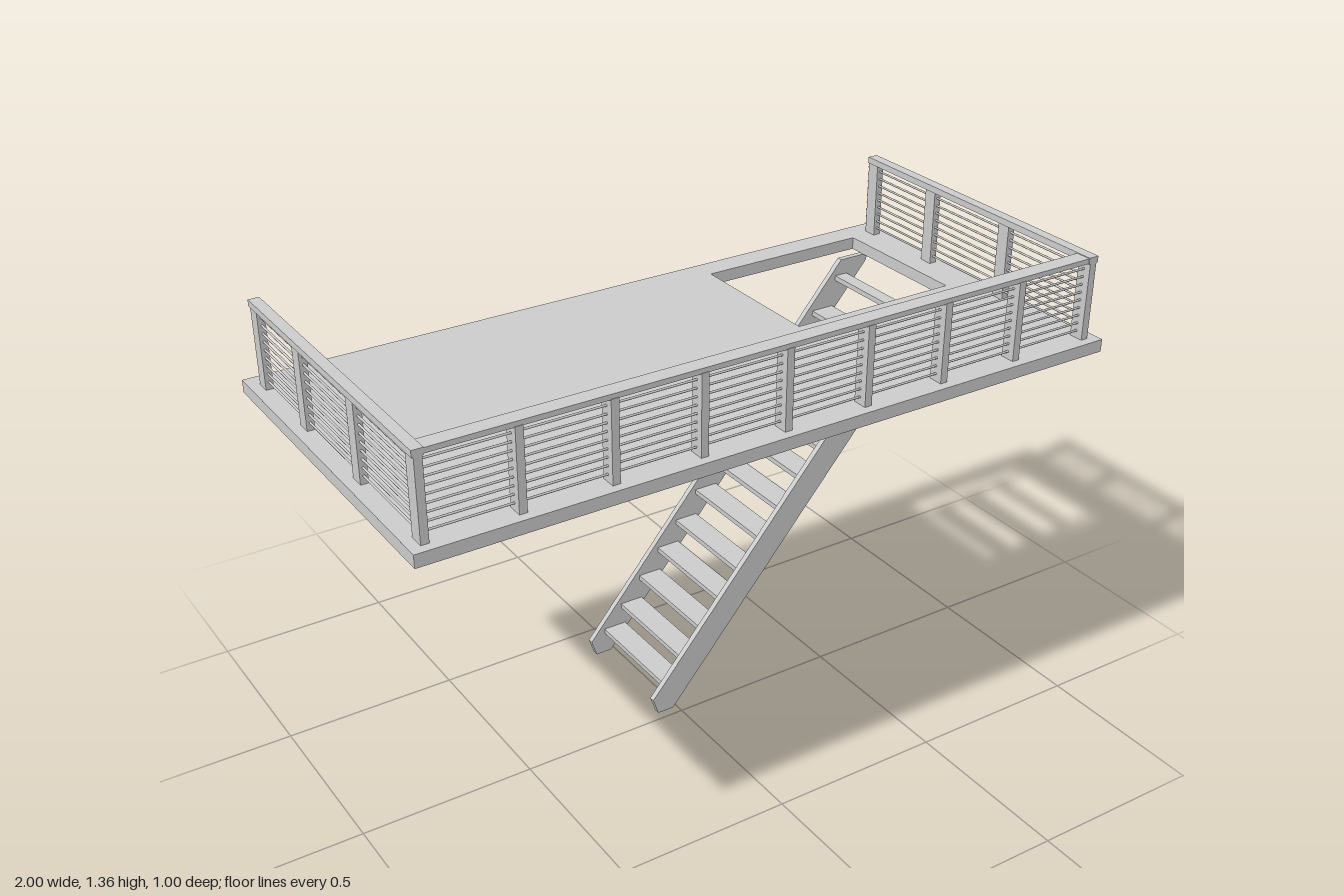
import * as THREE from 'three';

const DECK_BOTTOM = 1.09, DECK_TOP = 1.125, RAIL_TOP = 1.356;
const RAIL_X = 0.96, RAIL_Z = 0.453;

export function createModel() {
  const model = new THREE.Group();
  const material = new THREE.MeshStandardMaterial({ color: 0xcccccc });

  const add = (parent, name, geometry) => {
    const mesh = new THREE.Mesh(geometry, material);
    mesh.name = name;
    parent.add(mesh);
    return mesh;
  };
  // Box given by its min and max on each axis
  const addBox = (parent, name, [x0, x1], [y0, y1], [z0, z1]) =>
    add(parent, name, new THREE.BoxGeometry(x1 - x0, y1 - y0, z1 - z0))
      .position.set((x0 + x1) / 2, (y0 + y1) / 2, (z0 + z1) / 2);
  const around = (c, size) => [c - size / 2, c + size / 2];
  const polygon = (points) => points.map(([x, y]) => new THREE.Vector2(x, y));

  // Deck slab with the stair opening (shape y is -z)
  const slab = new THREE.Shape(polygon([[-1, -0.5], [1, -0.5], [1, 0.5], [-1, 0.5]]));
  slab.holes.push(new THREE.Path(polygon([[0.375, 0], [0.375, 0.428], [0.885, 0.428], [0.885, 0]])));
  const deck = add(model, 'deck', new THREE.ExtrudeGeometry(slab, {
    depth: DECK_TOP - DECK_BOTTOM, bevelEnabled: false,
  }).rotateX(-Math.PI / 2));
  deck.position.y = DECK_BOTTOM;

  // Railing on the front and both sides
  const railing = new THREE.Group();
  railing.name = 'railing';
  model.add(railing);
  const postY = [DECK_TOP, RAIL_TOP - 0.012];
  for (let i = 0; i <= 8; i++) {
    addBox(railing, 'frontPost', around(-RAIL_X + i * 0.24, 0.021), postY, around(RAIL_Z, 0.042));
  }
  addBox(railing, 'frontTopRail', [-RAIL_X, RAIL_X], [RAIL_TOP - 0.014, RAIL_TOP], around(RAIL_Z - 0.003, 0.045));
  for (const side of [-1, 1]) {
    const x = side * RAIL_X;
    for (const z of [0.141, -0.169, -0.431]) {
      addBox(railing, 'sidePost', around(x, 0.021), postY, around(z, 0.04));
    }
    addBox(railing, 'sideTopRail', around(x, 0.03), [RAIL_TOP - 0.016, RAIL_TOP + 0.002], [-0.45, 0.474]);
  }

  // Horizontal wires
  const wire = (length) => new THREE.CylinderGeometry(0.003, 0.003, length, 8);
  const frontWire = wire(2 * RAIL_X).rotateZ(Math.PI / 2);
  const sideWire = wire(RAIL_Z + 0.463).rotateX(Math.PI / 2);
  for (let i = 0; i < 9; i++) {
    const y = 1.146 + i * 0.0219;
    add(railing, 'frontWire', frontWire).position.set(0, y, RAIL_Z);
    for (const side of [-1, 1]) {
      add(railing, 'sideWire', sideWire).position.set(side * RAIL_X, y, (RAIL_Z - 0.463) / 2);
    }
  }

  // Stair stringers
  const stairs = new THREE.Group();
  stairs.name = 'stairs';
  model.add(stairs);
  const profile = new THREE.Shape(polygon([
    [-0.063, 0], [-0.013, 0], [0.898, 1.072], [0.898, DECK_BOTTOM], [0.804, DECK_BOTTOM], [-0.08, 0.05],
  ]));
  const stringer = new THREE.ExtrudeGeometry(profile, { depth: 0.017, bevelEnabled: false });
  for (const z of [-0.394, -0.043]) add(stairs, 'stringer', stringer).position.z = z;

  // Treads, bottom to top; the top one is shallower
  const treadHeights = [0.074, 0.144, 0.222, 0.299, 0.375, 0.458, 0.537, 0.618, 0.694, 0.78, 0.856, 0.942, 1.036];
  treadHeights.forEach((y, i) => {
    const x = -0.054 + (y - 0.05) / 1.176;
    const depth = i === treadHeights.length - 1 ? 0.041 : 0.072;
    addBox(stairs, 'tread', [x, x + depth], around(y, 0.015), [-0.377, -0.043]);
  });

  return model;
}
